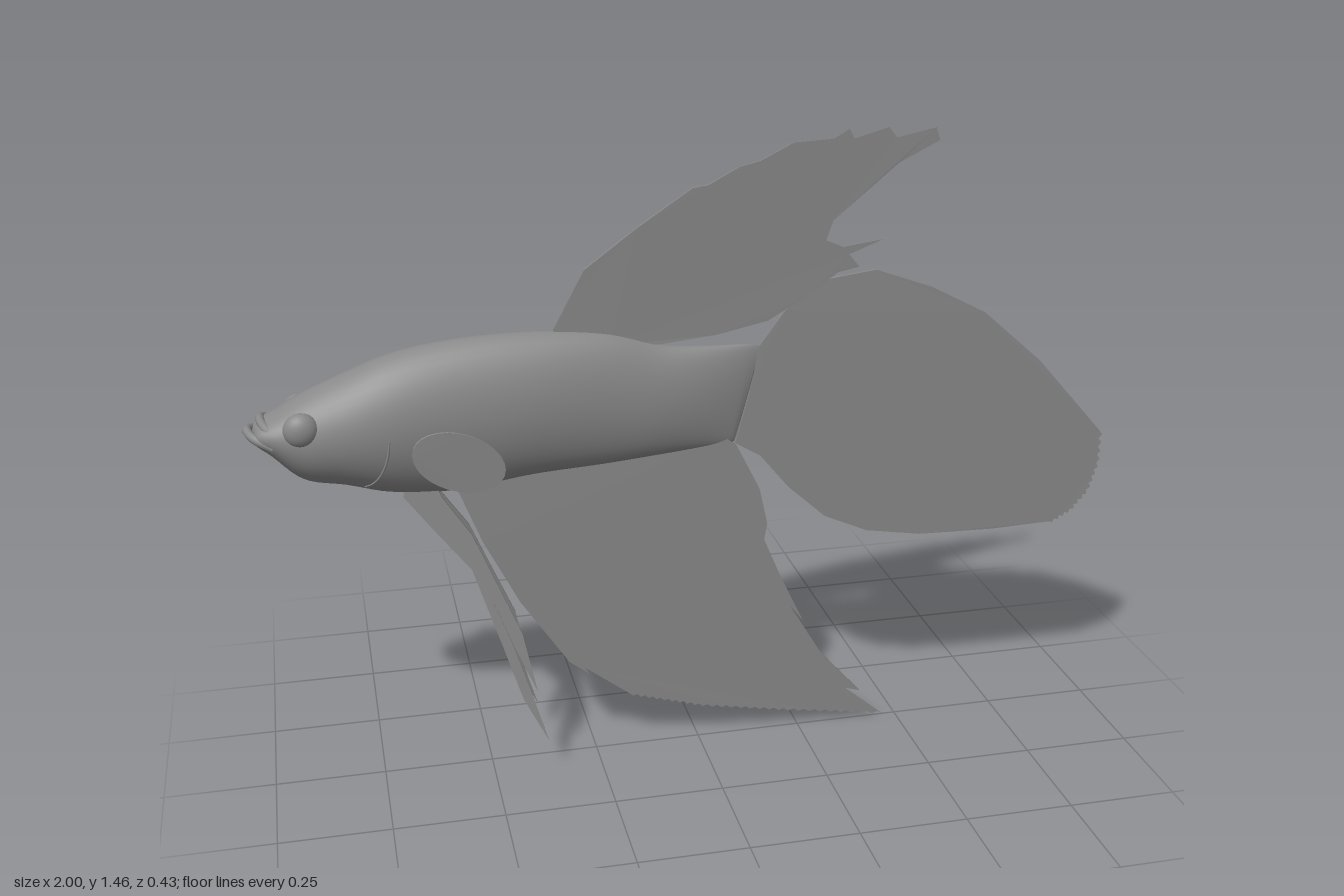
import * as THREE from 'three';

const grey = new THREE.MeshStandardMaterial({ color: 0x888888, side: THREE.DoubleSide });

// Paired body stations: top x, top y, half width, bottom x, bottom y
const stations = [
  [-0.975, 0.888, 0.015, -0.98, 0.868], [-0.96, 0.9, 0.048, -0.978, 0.848],
  [-0.93, 0.916, 0.068, -0.945, 0.818], [-0.87, 0.95, 0.083, -0.88, 0.757],
  [-0.8, 0.98, 0.092, -0.79, 0.735], [-0.68, 1.025, 0.095, -0.7, 0.71],
  [-0.52, 1.05, 0.086, -0.56, 0.7], [-0.34, 1.052, 0.073, -0.38, 0.722],
  [-0.2, 1.037, 0.058, -0.22, 0.732], [-0.08, 1.002, 0.046, -0.1, 0.742],
  [0.03, 0.993, 0.03, 0, 0.75], [0.12, 0.99, 0.012, 0.075, 0.757],
  [0.145, 0.985, 0.005, 0.085, 0.762],
];
const back = new THREE.CatmullRomCurve3(stations.map(s => new THREE.Vector3(s[0], s[1], s[2])));
const belly = new THREE.CatmullRomCurve3(stations.map(s => new THREE.Vector3(s[3], s[4], 0)));

// Point on the body skin: t runs nose to tail, a runs round from the back
function skin(t, a) {
  const top = back.getPoint(t), bottom = belly.getPoint(t);
  const k = (1 - Math.cos(a)) / 2, s = Math.sin(a);
  return new THREE.Vector3(
    top.x + (bottom.x - top.x) * k,
    top.y + (bottom.y - top.y) * k,
    top.z * Math.sign(s) * Math.abs(s) ** 1.15);
}

function bodyGeometry(rings = 72, sides = 40) {
  const pos = [], index = [];
  for (let i = 0; i <= rings; i++)
    for (let j = 0; j < sides; j++) pos.push(...skin(i / rings, j / sides * Math.PI * 2).toArray());
  for (let i = 0; i < rings; i++)
    for (let j = 0; j < sides; j++) {
      const a = i * sides + j, b = i * sides + (j + 1) % sides;
      index.push(a, b, a + sides, b, b + sides, a + sides);
    }
  // End caps
  const end = rings * sides;
  for (let j = 1; j < sides - 1; j++) index.push(0, j + 1, j, end, end + j, end + j + 1);
  const g = new THREE.BufferGeometry();
  g.setAttribute('position', new THREE.Float32BufferAttribute(pos, 3));
  g.setIndex(index);
  g.computeVertexNormals();
  return g;
}

function add(group, name, geometry) {
  const mesh = new THREE.Mesh(geometry, grey);
  mesh.name = name;
  group.add(mesh);
  return mesh;
}

// Thin fin: an outline whose thickness fades from its root, bent sideways by a rule
function finGeometry(outline, root, reach, thick, bend = () => 0) {
  const shape = new THREE.Shape(outline.map(p => new THREE.Vector2(p[0], p[1])));
  const g = new THREE.ExtrudeGeometry(shape, { depth: 1, bevelEnabled: false });
  const p = g.attributes.position;
  for (let i = 0; i < p.count; i++) {
    const x = p.getX(i), y = p.getY(i);
    const fade = Math.max(0.08, 1 - Math.hypot(x - root[0], y - root[1]) / reach);
    p.setZ(i, (p.getZ(i) - 0.5) * thick * fade + bend(x, y));
  }
  g.computeVertexNormals();
  return g;
}

// Small teeth along a polyline
function teeth(points, count, depth) {
  const out = [];
  for (let k = 0; k < points.length - 1; k++) {
    const [ax, ay] = points[k], [bx, by] = points[k + 1];
    const len = Math.hypot(bx - ax, by - ay);
    const nx = (by - ay) / len * depth, ny = (ax - bx) / len * depth;
    for (let i = 0; i < count; i++) {
      const u = i / count, v = (i + 0.5) / count;
      out.push([ax + (bx - ax) * u, ay + (by - ay) * u]);
      out.push([ax + (bx - ax) * v - nx, ay + (by - ay) * v - ny]);
    }
  }
  out.push(points[points.length - 1]);
  return out;
}

function tube(points, radius) {
  const curve = new THREE.CatmullRomCurve3(points.map(p => new THREE.Vector3(...p)));
  return new THREE.TubeGeometry(curve, 28, radius, 10);
}

export function createModel() {
  const fish = new THREE.Group();
  fish.name = 'fish';
  add(fish, 'body', bodyGeometry());

  // Lips, the lower one jutting forward
  add(fish, 'upperLip', tube([[-0.925, 0.868, -0.058], [-0.95, 0.889, -0.04], [-0.961, 0.9, 0],
    [-0.95, 0.889, 0.04], [-0.925, 0.868, 0.058]], 0.01));
  add(fish, 'lowerLip', tube([[-0.935, 0.848, -0.056], [-0.974, 0.866, -0.038], [-0.99, 0.876, 0],
    [-0.974, 0.866, 0.038], [-0.935, 0.848, 0.056]], 0.01));

  // Dorsal fin with a ragged rear edge
  add(fish, 'dorsalFin', finGeometry([
    [-0.32, 1.03], [-0.325, 1.055], [-0.29, 1.12], [-0.255, 1.185], [-0.14, 1.27], [-0.015, 1.353],
    [0.02, 1.358], [0.09, 1.395], [0.135, 1.405], [0.21, 1.442], [0.3, 1.447], [0.335, 1.467],
    [0.347, 1.445], [0.425, 1.467], [0.445, 1.443], [0.535, 1.462], [0.545, 1.433], [0.45, 1.385],
    [0.36, 1.31], [0.305, 1.265], [0.29, 1.22], [0.33, 1.203], [0.425, 1.216], [0.345, 1.185],
    [0.37, 1.155], [0.32, 1.145], [0.25, 1.095], [0.16, 1.043], [0.04, 1.018], [-0.09, 1.005], [-0.2, 1.01],
  ], [-0.1, 1.02], 0.75, 0.012, (x, y) => (y - 1) * 0.026));

  // Tail fin with a toothed rim
  add(fish, 'tailFin', finGeometry([
    [0.09, 0.77], [0.12, 0.88], [0.14, 0.985], [0.2, 1.065], [0.295, 1.13], [0.41, 1.145],
    [0.545, 1.097], [0.68, 1.027], [0.825, 0.9],
    ...teeth([[0.992, 0.712], [0.991, 0.628], [0.97, 0.56], [0.93, 0.513], [0.878, 0.485]], 4, 0.008),
    [0.73, 0.48], [0.545, 0.485], [0.41, 0.508], [0.305, 0.555], [0.215, 0.637], [0.145, 0.722], [0.085, 0.758],
  ], [0.11, 0.88], 0.85, 0.014));

  // Anal fin sweeping back to a long point
  add(fish, 'analFin', finGeometry([
    [-0.55, 0.72], [-0.55, 0.7], [-0.5, 0.57], [-0.42, 0.41], [-0.31, 0.243], [-0.262, 0.205], [-0.272, 0.222],
    [-0.165, 0.14],
    ...teeth([[-0.16, 0.135], [0.01, 0.085], [0.225, 0.045], [0.47, 0.006]], 9, 0.006),
    [0.37, 0.09], [0.41, 0.078], [0.305, 0.195], [0.225, 0.33], [0.258, 0.287], [0.2, 0.41],
    [0.158, 0.51], [0.165, 0.55], [0.145, 0.64], [0.09, 0.75], [0.06, 0.775], [-0.2, 0.755],
  ], [-0.2, 0.74], 0.95, 0.018));

  for (const side of [1, -1]) {
    const label = side > 0 ? 'left' : 'right';

    // Eye
    const eye = add(fish, label + 'Eye', new THREE.SphereGeometry(0.038, 24, 16));
    eye.position.set(-0.877, 0.889, side * 0.068);
    eye.scale.z = 0.7;

    // Gill cover edge, lying on the skin
    const arc = [];
    for (let i = 0; i <= 6; i++) {
      const u = i / 6;
      const p = skin((4.95 - 0.5 * u * u) / 12, side * (1.65 + u * 1.0));
      arc.push(p.toArray());
    }
    add(fish, label + 'GillEdge', tube(arc, 0.0025));

    // Pectoral fin, spread outward and leaning out at the top
    const oval = [];
    for (let i = 0; i < 28; i++) {
      const a = i / 28 * Math.PI * 2;
      oval.push([-0.557 + 0.093 * Math.cos(a), 0.819 + 0.072 * Math.sin(a)]);
    }
    add(fish, label + 'PectoralFin', finGeometry(oval, [-0.65, 0.82], 0.2, 0.01,
      (x, y) => side * (0.088 + (x + 0.65) * 0.67 + (y - 0.82) * 0.2)));

    // Forked ventral fin
    add(fish, label + 'VentralFin', finGeometry([
      [-0.66, 0.725], [-0.67, 0.7], [-0.605, 0.615], [-0.53, 0.52], [-0.47, 0.33], [-0.43, 0.2],
      [-0.375, 0.09], [-0.41, 0.21], [-0.45, 0.34], [-0.49, 0.45], [-0.445, 0.33], [-0.396, 0.214],
      [-0.425, 0.358], [-0.48, 0.49], [-0.525, 0.6], [-0.585, 0.69], [-0.6, 0.725],
    ], [-0.63, 0.7], 0.7, 0.01, (x, y) => side * (0.02 + (0.7 - y) * 0.12)));
  }
  return fish;
}
